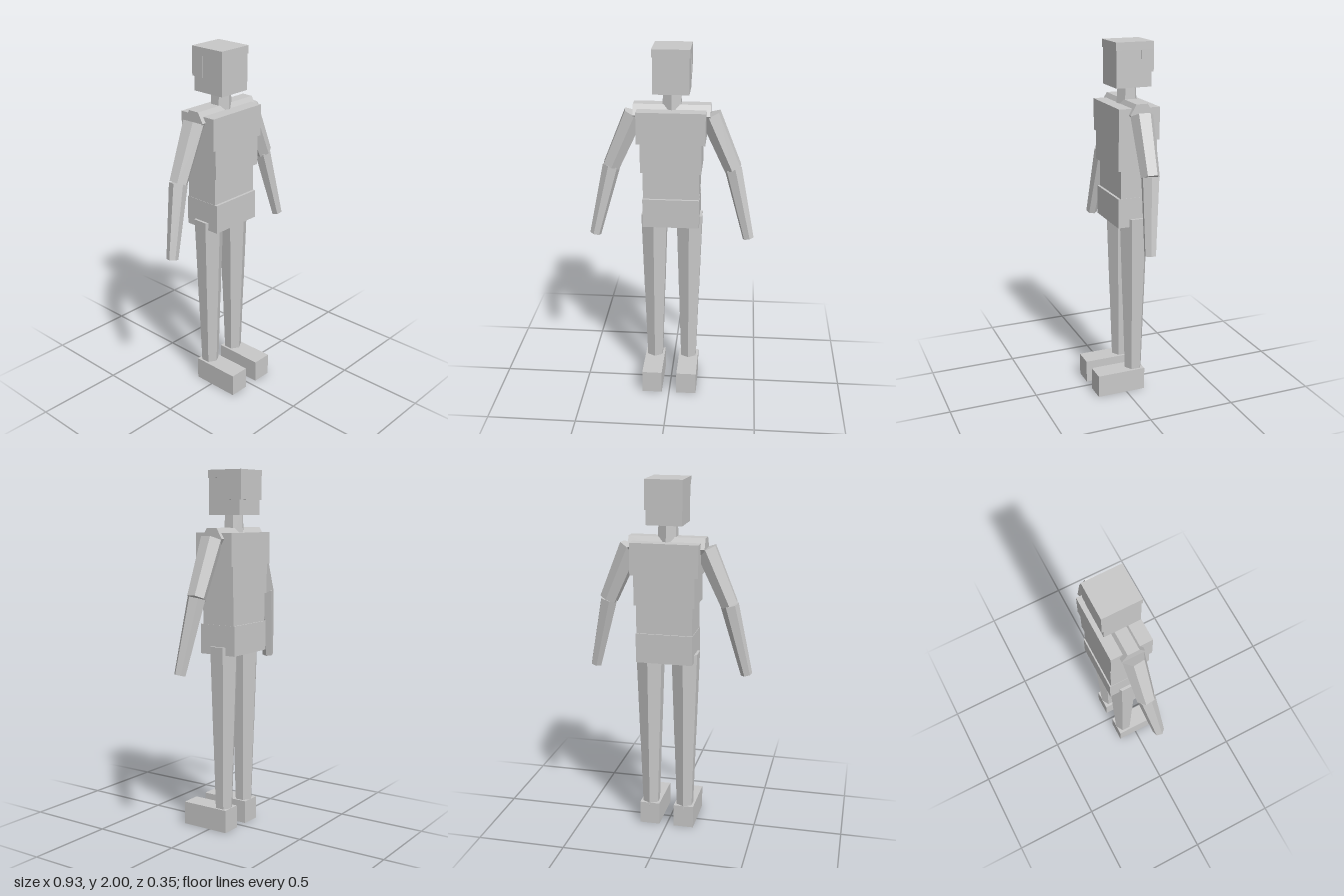
import * as THREE from 'three';

export function createModel() {
  const model = new THREE.Group();
  model.name = 'blockFigure';
  const grey = new THREE.MeshStandardMaterial({ name: 'lightGrey', color: 0xc8c8c8, flatShading: true });

  // Box given by its extents on each axis
  function block(name, [x0, x1], [y0, y1], [z0, z1]) {
    const mesh = new THREE.Mesh(new THREE.BoxGeometry(x1 - x0, y1 - y0, z1 - z0), grey);
    mesh.position.set((x0 + x1) / 2, (y0 + y1) / 2, (z0 + z1) / 2);
    mesh.name = name;
    model.add(mesh);
  }

  // Tapered six-sided prism between two points
  const up = new THREE.Vector3(0, 1, 0);
  function limb(name, from, to, r0, r1) {
    const a = new THREE.Vector3(...from), b = new THREE.Vector3(...to);
    const dir = b.clone().sub(a);
    const mesh = new THREE.Mesh(new THREE.CylinderGeometry(r1, r0, dir.length(), 6), grey);
    mesh.position.copy(a).add(b).multiplyScalar(0.5);
    mesh.quaternion.setFromUnitVectors(up, dir.normalize());
    mesh.name = name;
    model.add(mesh);
  }

  // Head with a thin cap and a panel round the back
  block('head', [-0.098, 0.098], [1.76, 1.99], [-0.162, 0.038]);
  block('headCap', [-0.102, 0.102], [1.957, 2], [-0.173, 0.042]);
  block('headBack', [-0.102, 0.102], [1.84, 1.957], [-0.173, -0.1]);
  limb('neck', [0, 1.64, -0.06], [0, 1.79, -0.06], 0.06, 0.053);

  // Stacked torso
  block('chest', [-0.187, 0.187], [1.49, 1.666], [-0.173, 0.06]);
  block('ribs', [-0.167, 0.167], [1.326, 1.49], [-0.169, 0.056]);
  block('waist', [-0.155, 0.155], [1.17, 1.326], [-0.162, 0.037]);
  block('hips', [-0.157, 0.157], [1.006, 1.17], [-0.17, 0.052]);

  for (const [side, s] of [['left', 1], ['right', -1]]) {
    // Shoulder and arm
    limb(side + 'Shoulder', [0, 1.635, -0.06], [s * 0.21, 1.635, -0.06], 0.065, 0.065);
    const shoulder = [s * 0.207, 1.63, -0.06];
    const elbow = [s * 0.338, 1.33, -0.053];
    const wrist = [s * 0.434, 0.93, -0.014];
    limb(side + 'UpperArm', shoulder, elbow, 0.063, 0.052);
    limb(side + 'Forearm', elbow, wrist, 0.05, 0.032);

    // Leg and foot
    const x = s * 0.1;
    limb(side + 'Thigh', [x, 1.05, -0.063], [x, 0.55, -0.063], 0.083, 0.066);
    limb(side + 'Shin', [x, 0.55, -0.063], [x, 0.11, -0.063], 0.065, 0.05);
    block(side + 'Foot', [x - 0.057, x + 0.057], [0, 0.13], [-0.112, 0.172]);
  }
  return model;
}
